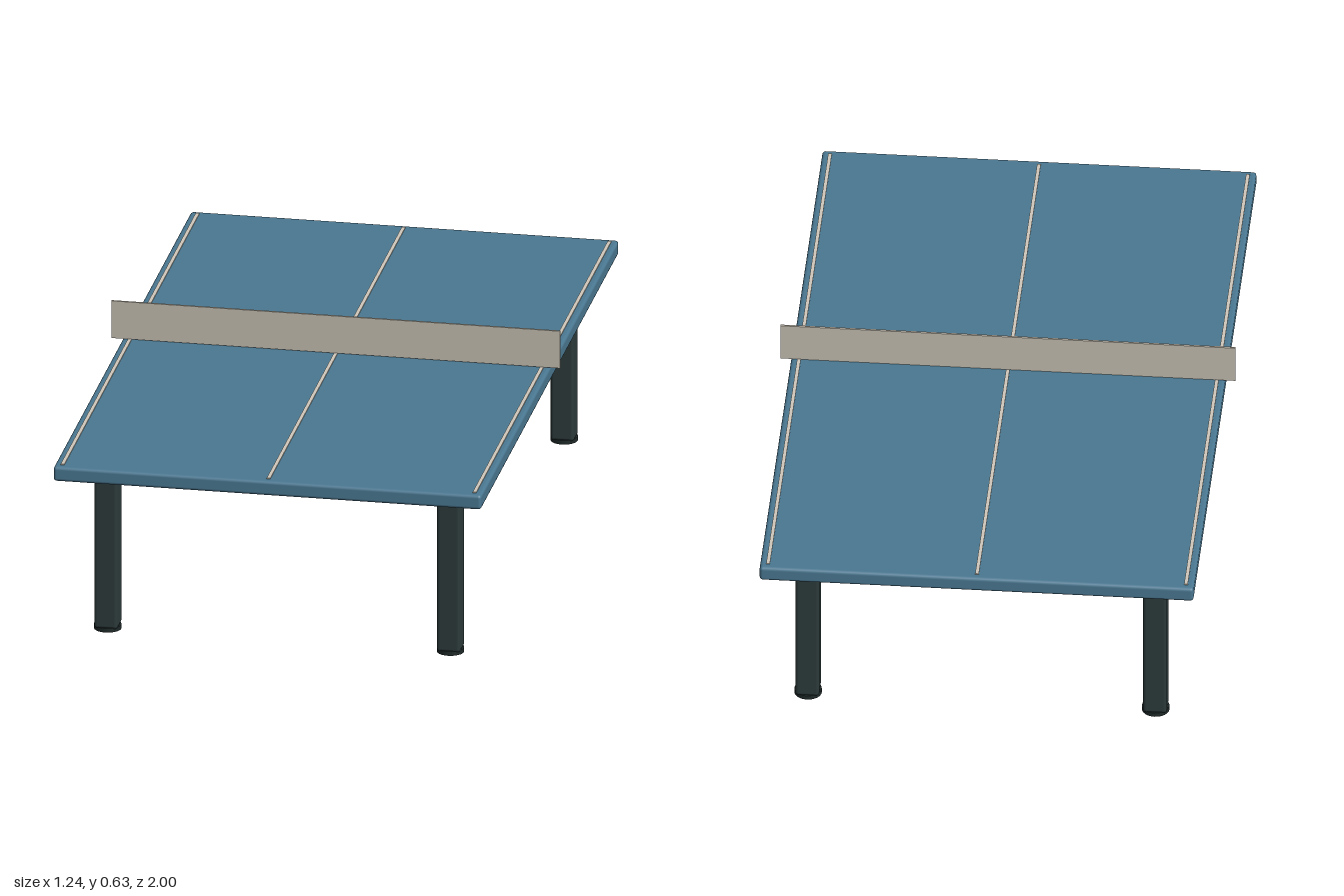
import * as THREE from 'three';
import { RoundedBoxGeometry } from 'three/addons/geometries/RoundedBoxGeometry.js';

const material = (name, color) => {
  const m = new THREE.MeshStandardMaterial({ color });
  m.name = name;
  return m;
};

export function createModel() {
  const blue = material('tableBlue', 0x4a7892);
  const cream = material('lineCream', 0xd0c8bb);
  const netBeige = material('netBeige', 0xc6bfb1);
  const dark = material('legDark', 0x2c3a3a);
  const rubber = material('footDark', 0x1f2929);

  const model = new THREE.Group();
  model.name = 'tableTennisTable';

  const add = (parent, name, geometry, mat, x, y, z) => {
    const mesh = new THREE.Mesh(geometry, mat);
    mesh.name = name;
    mesh.position.set(x, y, z);
    parent.add(mesh);
  };

  // Playing surface with softened edges
  add(model, 'tabletop', new RoundedBoxGeometry(1.186, 0.042, 2, 2, 0.009), blue, 0, 0.504, 0);

  // Side lines and centre line
  const lineGeometry = new THREE.BoxGeometry(0.01, 0.004, 1.96);
  for (const [name, x] of [['rightLine', -0.571], ['centreLine', 0], ['leftLine', 0.571]]) {
    add(model, name, lineGeometry, cream, x, 0.5255, 0);
  }

  // Net overhanging both sides
  add(model, 'net', new THREE.BoxGeometry(1.244, 0.108, 0.006), netBeige, 0, 0.581, 0);

  // Four bevelled legs standing on round feet
  const legGeometry = new RoundedBoxGeometry(0.066, 0.476, 0.066, 2, 0.01);
  const footGeometry = new THREE.CylinderGeometry(0.0375, 0.0375, 0.012, 24);
  for (const x of [-0.475, 0.475]) {
    for (const z of [-0.825, 0.825]) {
      const leg = new THREE.Group();
      leg.name = (z > 0 ? 'front' : 'back') + (x > 0 ? 'Left' : 'Right') + 'Leg';
      leg.position.set(x, 0, z);
      add(leg, 'post', legGeometry, dark, 0, 0.245, 0);
      add(leg, 'foot', footGeometry, rubber, 0, 0.006, 0);
      model.add(leg);
    }
  }
  return model;
}
